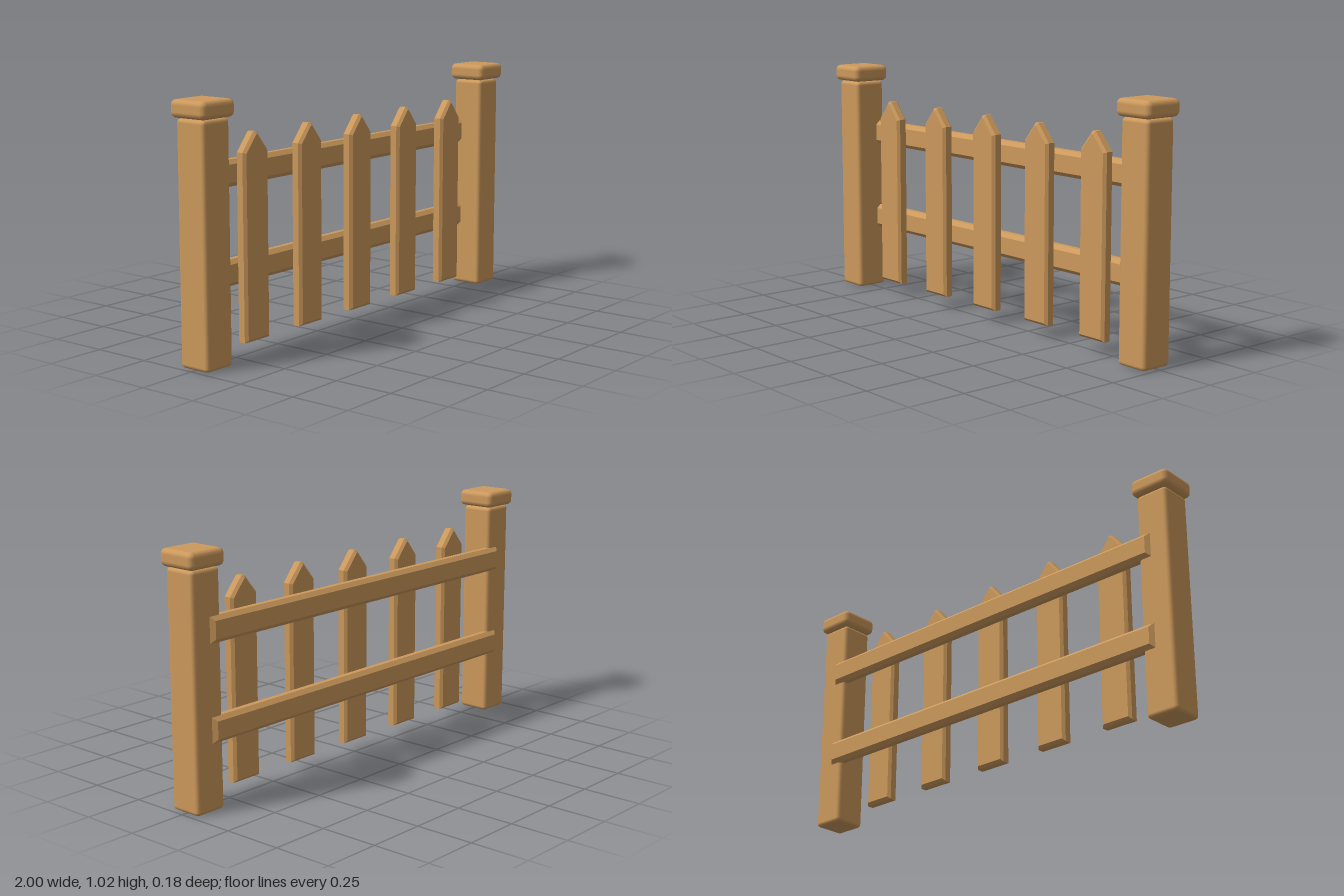
import * as THREE from 'three';
import { RoundedBoxGeometry } from 'three/addons/geometries/RoundedBoxGeometry.js';

const wood = new THREE.MeshStandardMaterial({ color: 0xcc995c });
wood.name = 'wood';

// Board with chamfered edges: outline in x/y, spanning z from back to front
function board(name, outline, back, front, bevel) {
  const shape = new THREE.Shape(outline.map(([x, y]) => new THREE.Vector2(x, y)));
  const geometry = new THREE.ExtrudeGeometry(shape, {
    depth: front - back - 2 * bevel,
    bevelEnabled: true,
    bevelSegments: 1,
    bevelSize: bevel,
    bevelThickness: bevel,
    bevelOffset: -bevel,
  });
  geometry.translate(0, 0, back + bevel);
  const mesh = new THREE.Mesh(geometry, wood);
  mesh.name = name;
  return mesh;
}

function roundedBlock(name, width, bottom, top, radius) {
  const geometry = new RoundedBoxGeometry(width, top - bottom, width, 2, radius);
  const mesh = new THREE.Mesh(geometry, wood);
  mesh.name = name;
  mesh.position.y = (bottom + top) / 2;
  return mesh;
}

export function createModel() {
  const fence = new THREE.Group();
  fence.name = 'picketFence';

  // End posts with caps
  for (const [side, x] of [['left', 0.912], ['right', -0.912]]) {
    const post = new THREE.Group();
    post.name = side + 'Post';
    post.position.x = x;
    post.add(
      roundedBlock('postShaft', 0.142, 0, 0.953, 0.016),
      roundedBlock('postCap', 0.176, 0.955, 1.025, 0.022),
    );
    fence.add(post);
  }

  // Horizontal rails behind the pickets
  for (const [name, y] of [['upperRail', 0.717], ['lowerRail', 0.326]]) {
    const w = 0.9, h = 0.053;
    const rail = board(name, [[-w, -h], [w, -h], [w, h], [-w, h]], -0.087, -0.03, 0.017);
    rail.position.y = y;
    fence.add(rail);
  }

  // Pointed pickets
  const w = 0.071;
  const outline = [
    [-w, 0.054], [w, 0.054], [w, 0.802], [0.008, 0.878], [-0.008, 0.878], [-w, 0.802],
  ];
  for (let i = -2; i <= 2; i++) {
    const picket = board('picket', outline, -0.013, 0.037, 0.011);
    picket.position.x = i * 0.3275;
    fence.add(picket);
  }

  return fence;
}
